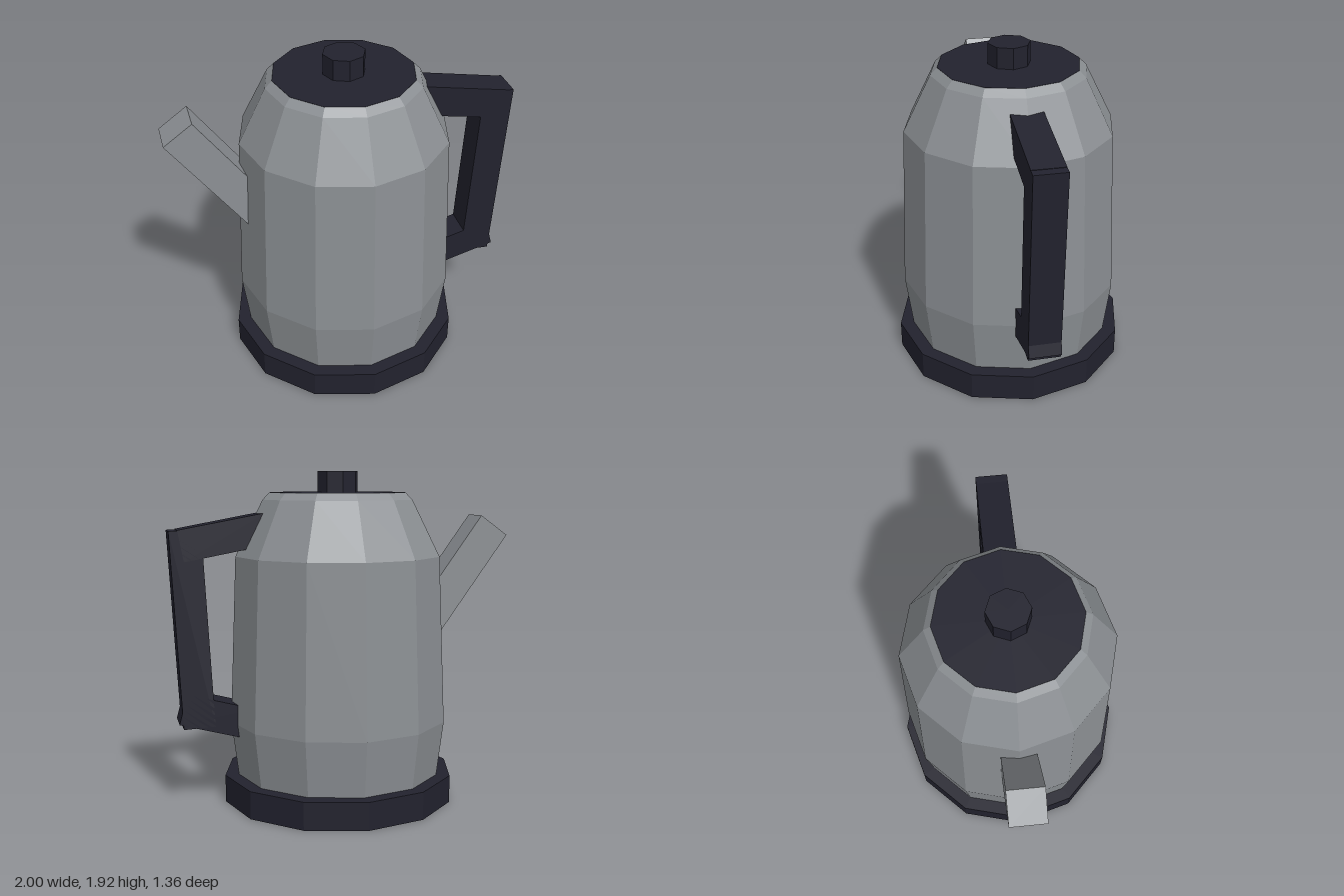
import * as THREE from 'three';

export function createModel() {
  const steel = new THREE.MeshStandardMaterial({ color: 0x8c9094, flatShading: true });
  steel.name = 'brushed steel';
  const plastic = new THREE.MeshStandardMaterial({ color: 0x22222e, flatShading: true });
  plastic.name = 'dark plastic';

  const kettle = new THREE.Group();
  kettle.name = 'kettle';
  const axisX = 0.015; // the body sits slightly off centre

  function add(name, geometry, material, x, y) {
    const mesh = new THREE.Mesh(geometry, material);
    mesh.name = name;
    mesh.position.set(x, y, 0);
    kettle.add(mesh);
    return mesh;
  }

  // Square bar running between two points in the x-y plane
  function bar(name, material, [x1, y1], [x2, y2], thickness, depth) {
    const length = Math.hypot(x2 - x1, y2 - y1);
    const mesh = add(name, new THREE.BoxGeometry(length, thickness, depth), material, (x1 + x2) / 2, (y1 + y2) / 2);
    mesh.rotation.z = Math.atan2(y2 - y1, x2 - x1);
  }

  // Heating base
  add('base', new THREE.CylinderGeometry(0.68, 0.68, 0.16, 12), plastic, axisX, 0.08);

  // Twelve-sided body with a tapered shoulder
  const profile = [[0.6, 0.16], [0.64, 0.48], [0.6, 1.44], [0.44, 1.76], [0.4, 1.8]]
    .map(([r, y]) => new THREE.Vector2(r, y));
  add('body', new THREE.LatheGeometry(profile, 12), steel, axisX, 0);

  // Flush lid and its knob
  add('lid', new THREE.CylinderGeometry(0.4, 0.4, 0.02, 12), plastic, axisX, 1.791);
  add('lidKnob', new THREE.CylinderGeometry(0.12, 0.12, 0.12, 8), plastic, axisX, 1.86);

  // Straight spout, its lower end buried in the body
  bar('spout', steel, [-0.92, 1.605], [-0.452, 0.956], 0.2, 0.2);

  // Handle made of three bars
  bar('handleTop', plastic, [0.44, 1.6], [0.93, 1.509], 0.18, 0.18);
  bar('handleGrip', plastic, [0.905, 1.597], [0.847, 0.475], 0.18, 0.18);
  bar('handleBottom', plastic, [0.55, 0.481], [0.937, 0.587], 0.18, 0.18);

  return kettle;
}
